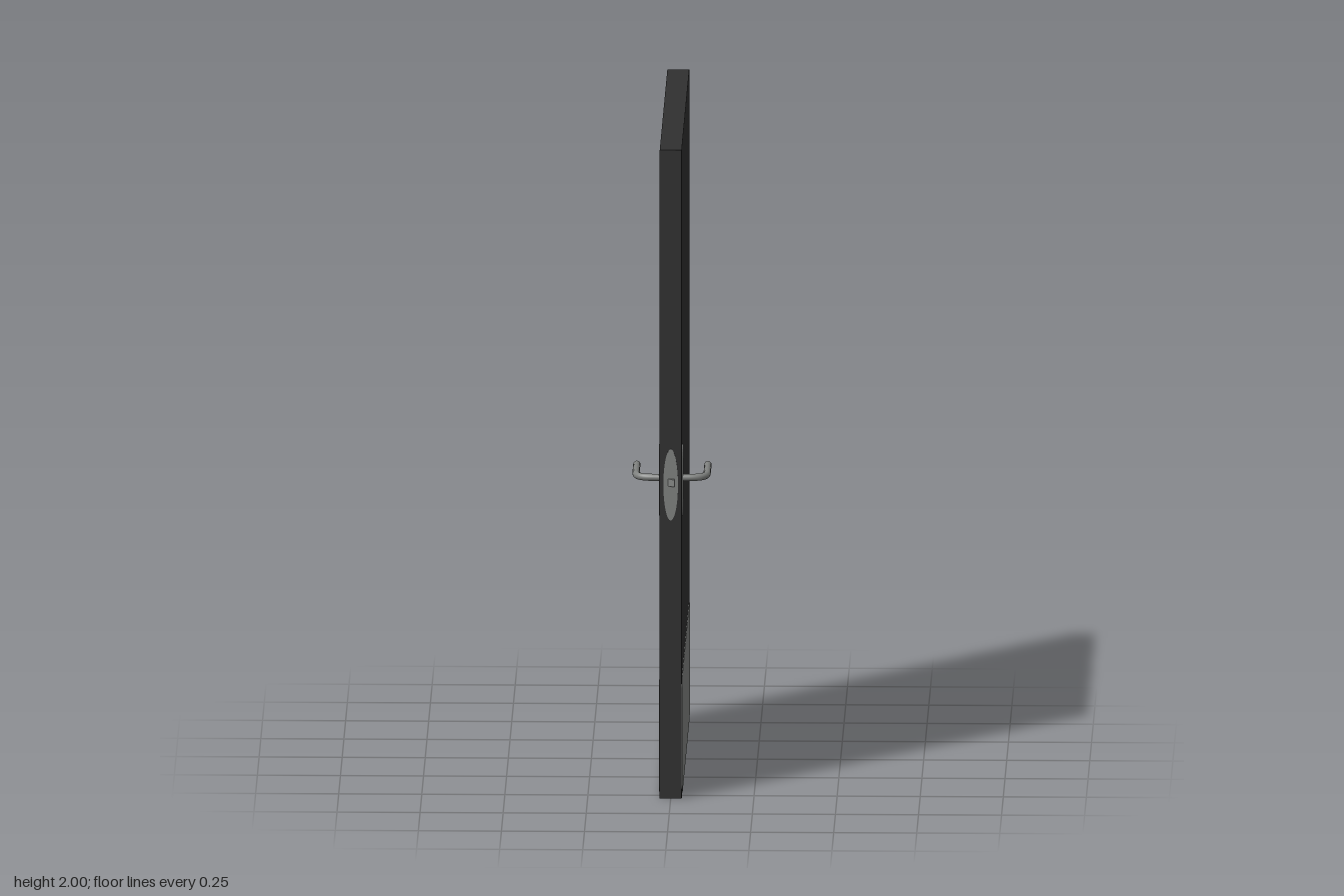
import * as THREE from 'three';

const DOOR = new THREE.MeshStandardMaterial({ color: 0x303030 });
const STEEL = new THREE.MeshStandardMaterial({ color: 0x808280 });
const HALF = 0.033, FRONT = 0.543, BACK = -0.56;
const HANDLE_Y = 0.975, HANDLE_Z = 0.477;

function add(parent, name, geometry, material) {
  const mesh = new THREE.Mesh(geometry, material);
  mesh.name = name;
  parent.add(mesh);
  return mesh;
}

// Thin plate cut from a shape, extruded along +z
const plate = (shape, depth) =>
  new THREE.ExtrudeGeometry(shape, { depth, bevelEnabled: false, curveSegments: 20 });

// Oval plate behind the handle and around the latch
function ovalPlate() {
  return plate(new THREE.Shape().absellipse(0, 0, 0.022, 0.11, 0, Math.PI * 2), 0.003);
}

// Kick plate outline with softly rounded corners
function kickShape(w, h, rx, ry) {
  const s = new THREE.Shape();
  s.moveTo(-w + rx, -h);
  s.lineTo(w - rx, -h);
  s.quadraticCurveTo(w, -h, w, -h + ry);
  s.lineTo(w, h - ry);
  s.quadraticCurveTo(w, h, w - rx, h);
  s.lineTo(-w + rx, h);
  s.quadraticCurveTo(-w, h, -w, h - ry);
  s.lineTo(-w, -h + ry);
  s.quadraticCurveTo(-w, -h, -w + rx, -h);
  return s;
}

// Lever: straight out of the door, round the bend, then along it
function leverGeometry(side) {
  const p = (x, z) => new THREE.Vector3(side * x, HANDLE_Y, z);
  const path = new THREE.CurvePath();
  path.add(new THREE.LineCurve3(p(HALF - 0.005, HANDLE_Z), p(0.055, 0.475)));
  path.add(new THREE.CubicBezierCurve3(p(0.055, 0.475), p(0.09, 0.472), p(0.107, 0.46), p(0.107, 0.415)));
  path.add(new THREE.LineCurve3(p(0.107, 0.415), p(0.107, 0.295)));
  return new THREE.TubeGeometry(path, 40, 0.011, 12);
}

export function createModel() {
  const model = new THREE.Group();
  model.name = 'door';

  const leaf = add(model, 'doorLeaf', new THREE.BoxGeometry(HALF * 2, 2, FRONT - BACK), DOOR);
  leaf.position.set(0, 1, (FRONT + BACK) / 2);

  // Both faces carry a kick plate, an oval plate and a lever
  for (const side of [1, -1]) {
    const fittings = new THREE.Group();
    fittings.name = side > 0 ? 'leftFittings' : 'rightFittings';
    model.add(fittings);

    const kick = add(fittings, 'kickPlate', plate(kickShape(0.544, 0.179, 0.06, 0.03), 0.002), STEEL);
    kick.position.set(side * HALF, 0.189, -0.008);
    kick.rotation.y = side * Math.PI / 2;

    const oval = add(fittings, 'handlePlate', ovalPlate(), STEEL);
    oval.position.set(side * HALF, 0.968, HANDLE_Z);
    oval.rotation.y = side * Math.PI / 2;

    add(fittings, 'lever', leverGeometry(side), STEEL);
    const cap = add(fittings, 'leverEnd', new THREE.CircleGeometry(0.011, 12), STEEL);
    cap.position.set(side * 0.107, HANDLE_Y, 0.295);
    cap.rotation.y = Math.PI;
  }

  // Latch plate and wedge-shaped bolt on the closing edge
  const strike = add(model, 'latchPlate', ovalPlate(), STEEL);
  strike.position.set(0, 0.968, FRONT);

  const wedge = new THREE.Shape();
  wedge.moveTo(-0.012, 0);
  wedge.lineTo(0.012, 0);
  wedge.lineTo(0.012, -0.018);
  const latch = add(model, 'latchBolt', plate(wedge, 0.022), STEEL);
  latch.rotation.x = -Math.PI / 2;
  latch.position.set(0, HANDLE_Y - 0.011, FRONT);

  return model;
}
